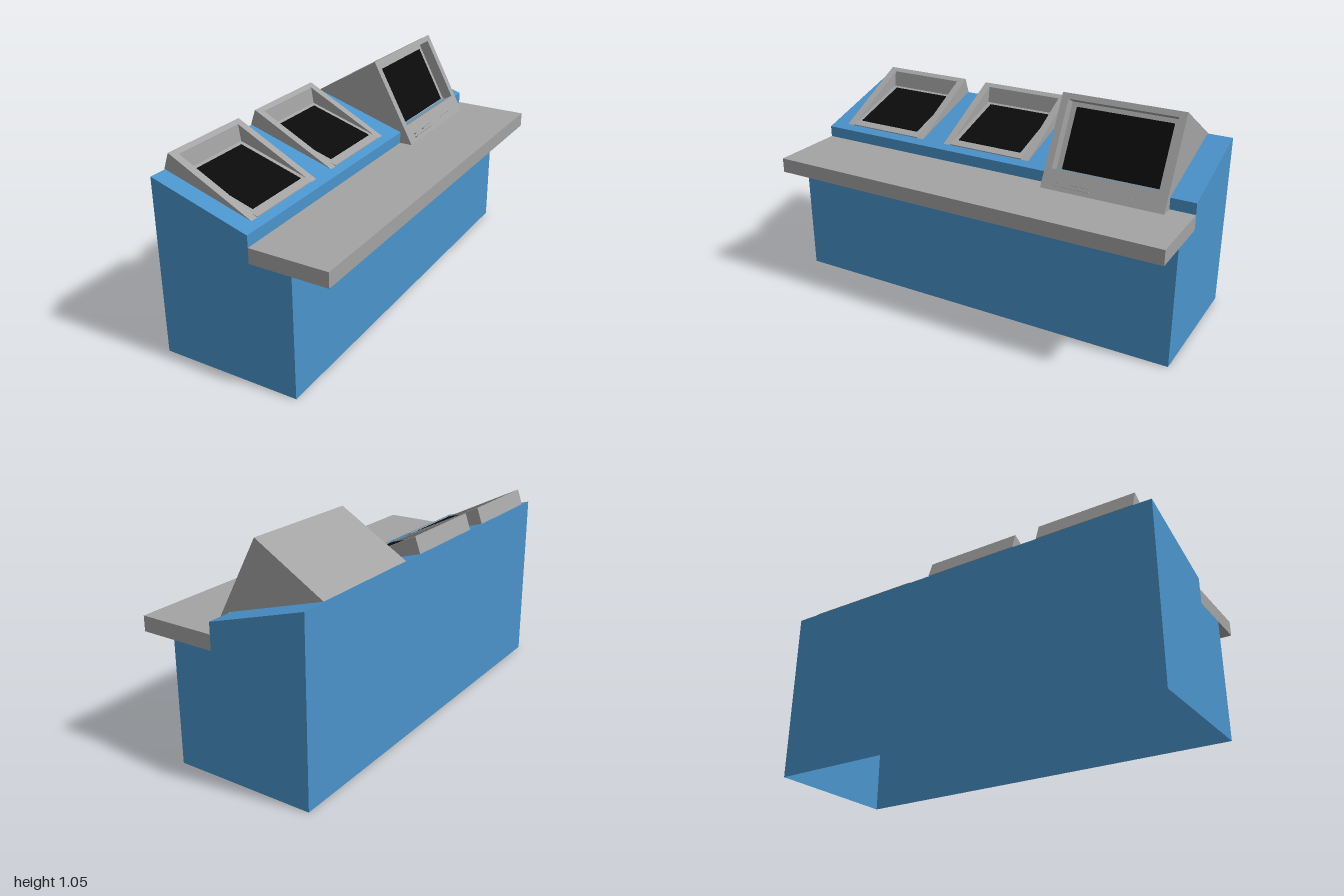
import * as THREE from 'three';

const blue = new THREE.MeshStandardMaterial({ color: 0x4a93cb, side: THREE.DoubleSide });
blue.name = 'blue cabinet';
const grey = new THREE.MeshStandardMaterial({ color: 0xa3a3a3 });
grey.name = 'grey casing';
const black = new THREE.MeshStandardMaterial({ color: 0x0b0b0b });
black.name = 'black screen';

const shapeOf = (pts) => new THREE.Shape(pts.map(([x, y]) => new THREE.Vector2(x, y)));

function add(parent, name, geometry, material) {
  const mesh = new THREE.Mesh(geometry, material);
  mesh.name = name;
  parent.add(mesh);
  return mesh;
}

// Solid with an x-y profile running from z0 to z1
function slab(parent, name, pts, z0, z1, material) {
  const g = new THREE.ExtrudeGeometry(shapeOf(pts), { depth: z1 - z0, bevelEnabled: false });
  return add(parent, name, g.translate(0, 0, z0), material);
}

// Open sheet following an x-y path from z0 to z1
function sheet(parent, name, path, z0, z1, material) {
  const v = [];
  for (let i = 0; i < path.length - 1; i++) {
    const [p, q] = [path[i], path[i + 1]];
    v.push(...p, z1, ...p, z0, ...q, z0, ...p, z1, ...q, z0, ...q, z1);
  }
  const g = new THREE.BufferGeometry();
  g.setAttribute('position', new THREE.Float32BufferAttribute(v, 3));
  g.computeVertexNormals();
  return add(parent, name, g, material);
}

// Height of the sloping cabinet top
const topY = (x) => 0.855 - (x + 0.43) * (0.145 / 0.48);

// Cabinet shell, open underneath
function buildCabinet() {
  const group = new THREE.Group();
  group.name = 'cabinet';
  const end = [[-0.43, 0], [0.255, 0], [0.255, 0.583], [0.05, 0.583], [0.05, 0.71], [-0.43, 0.855]];
  for (const z of [-1, 1]) {
    add(group, 'endPanel', new THREE.ShapeGeometry(shapeOf(end)), blue).position.z = z;
  }
  sheet(group, 'kneePanel', [[0.255, 0], [0.255, 0.583]], -1, 1, blue);
  sheet(group, 'topAndBackPanel', [[0.05, 0.655], [0.05, 0.71], [-0.43, 0.855], [-0.43, 0]], -1, 1, blue);
  return group;
}

// Hooded display lying on the slope
function buildHoodedDisplay(zc) {
  const group = new THREE.Group();
  group.name = 'hoodedDisplay';
  const lift = 0.003;
  const side = [[-0.43, topY(-0.43) + lift], [0.01, topY(0.01) + lift], [-0.403, 0.935]];
  slab(group, 'hoodSide', side, -0.238, -0.2, grey);
  slab(group, 'hoodSide', side, 0.2, 0.238, grey);
  slab(group, 'hoodBack', [[-0.43, 0.858], [-0.365, topY(-0.365) + lift], [-0.378, 0.922], [-0.403, 0.935]], -0.2, 0.2, grey);
  const plate = (name, x0, x1, h0, h1, half, mat) => slab(group, name,
    [[x0, topY(x0) + h0], [x1, topY(x1) + h0], [x1, topY(x1) + h1], [x0, topY(x0) + h1]], -half, half, mat);
  plate('displayBed', -0.37, 0.01, lift, 0.008, 0.2, grey);
  plate('screen', -0.345, -0.03, 0.008, 0.012, 0.174, black);
  group.position.z = zc;
  return group;
}

// Large upright monitor with a recessed screen
function buildMonitor() {
  const group = new THREE.Group();
  group.name = 'monitor';
  // Point s down the sloping face and d out from it
  const face = (s, d) => [-0.10 + 0.4736 * s + 0.8811 * d, 1.055 - 0.8811 * s + 0.4736 * d];
  const base = [[-0.10, 1.055], [-0.43, 0.858], [0.05, 0.713], [0.05, 0.655], [0.115, 0.655]];
  slab(group, 'monitorCheek', base, -0.88, -0.845, grey);
  slab(group, 'monitorCheek', base, -0.315, -0.28, grey);
  const depth = -0.055;
  const notch = [face(0.357, 0), face(0.357, depth), face(0.028, depth), face(0.028, 0)];
  slab(group, 'monitorCore', [...base, ...notch], -0.845, -0.315, grey);

  const plate = (name, s0, s1, d0, d1, z0, z1, mat) =>
    slab(group, name, [face(s0, d0), face(s1, d0), face(s1, d1), face(s0, d1)], z0, z1, mat);
  plate('screen', 0.05, 0.347, depth, depth + 0.004, -0.817, -0.343, black);

  // Small raised handles and marks below the screen
  plate('handle', 0.412, 0.417, 0, 0.012, -0.375, -0.342, grey);
  plate('handle', 0.412, 0.417, 0, 0.012, -0.52, -0.43, grey);
  plate('handle', 0.429, 0.434, 0, 0.012, -0.52, -0.342, grey);
  for (let i = 0; i < 4; i++) {
    const z = -0.65 - i * 0.028;
    plate('button', 0.415, 0.419, 0, 0.003, z - 0.015, z, grey);
  }
  return group;
}

export function createModel() {
  const model = new THREE.Group();
  model.name = 'controlDesk';
  model.add(buildCabinet());
  slab(model, 'deskShelf', [[0.05, 0.583], [0.427, 0.583], [0.427, 0.655], [0.05, 0.655]], -1, 1, grey);
  for (const z of [0.077, 0.677]) model.add(buildHoodedDisplay(z));
  model.add(buildMonitor());
  return model;
}
